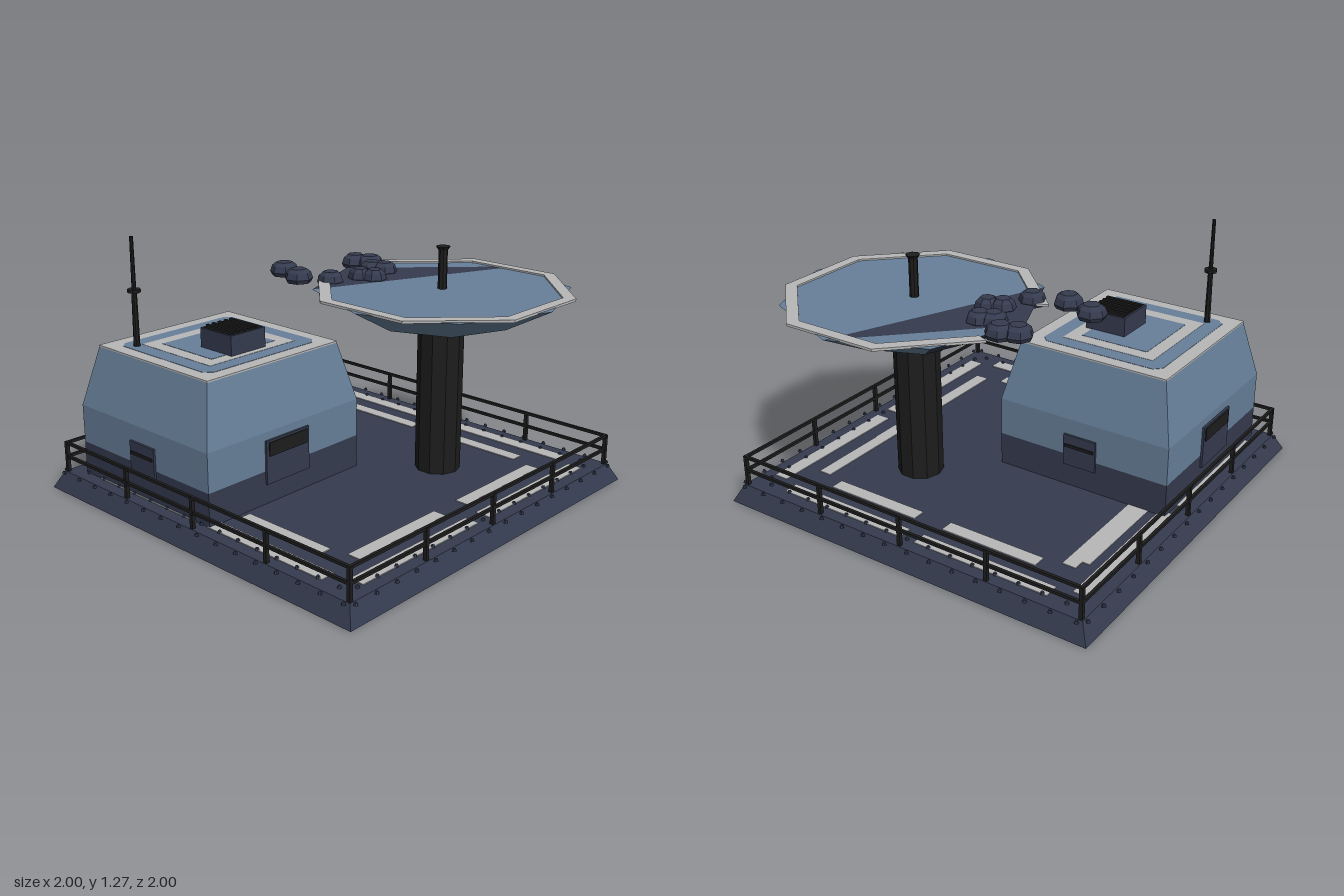
import * as THREE from 'three';

const mat = (name, hex) => {
  const m = new THREE.MeshStandardMaterial({ color: hex });
  m.name = name;
  return m;
};

export function createModel() {
  const root = new THREE.Group();
  root.name = 'radarOutpost';
  const navy = mat('navy', 0x353b4f);
  navy.side = THREE.DoubleSide; // the platform skirt is open underneath
  const blue = mat('steelBlue', 0x67809a);
  const grey = mat('paleGrey', 0xb8b8b8);
  const black = mat('black', 0x1d1d1d);

  const add = (name, geo, material, x = 0, y = 0, z = 0, parent = root) => {
    const m = new THREE.Mesh(geo, material);
    m.name = name;
    m.position.set(x, y, z);
    parent.add(m);
    return m;
  };
  const box = (name, w, h, d, material, x, y, z, parent) =>
    add(name, new THREE.BoxGeometry(w, h, d), material, x, y, z, parent);
  const flat = (geo) => {
    const g = geo.index ? geo.toNonIndexed() : geo;
    g.computeVertexNormals();
    return g;
  };
  const rod = (name, r0, r1, y0, y1, sides, material, x, z) =>
    add(name, flat(new THREE.CylinderGeometry(r1, r0, y1 - y0, sides)), material, x, (y0 + y1) / 2, z);
  // Box whose top face is smaller than its bottom face
  const frustum = (w, d, h, topW, topD) => {
    const g = new THREE.BoxGeometry(w, h, d);
    const p = g.attributes.position;
    for (let i = 0; i < p.count; i++) {
      if (p.getY(i) > 0) p.setXYZ(i, p.getX(i) * topW / w, h / 2, p.getZ(i) * topD / d);
    }
    g.computeVertexNormals();
    return g;
  };

  // Platform: a deck plate on a sloped skirt, hollow underneath
  const deck = 0.087;
  const skirtGeo = new THREE.CylinderGeometry(0.955 * Math.SQRT2, Math.SQRT2, deck, 4, 1, true, Math.PI / 4);
  add('platformSkirt', flat(skirtGeo), navy, 0, deck / 2, 0);
  box('deckPlate', 1.91, 0.002, 1.91, navy, 0, deck - 0.001, 0);

  // Painted deck dashes, rails and studs, repeated on all four sides
  const studGeo = flat(new THREE.CylinderGeometry(0.006, 0.011, 0.012, 6));
  for (let s = 0; s < 4; s++) {
    const side = new THREE.Group();
    side.name = 'deckSide' + (s + 1);
    side.rotation.y = s * Math.PI / 2;
    root.add(side);
    const end = s % 2 ? 0.745 : 0.81;
    const innerEnd = s % 2 ? 0.585 : 0.66;
    for (const k of [-1, 1]) {
      box('outerDash', end - 0.04, 0.004, 0.075, grey, k * (end + 0.04) / 2, deck + 0.002, 0.857, side);
      box('innerDash', innerEnd - 0.08, 0.004, 0.068, grey, k * (innerEnd + 0.08) / 2, deck + 0.002, 0.706, side);
    }
    for (const y of [0.165, 0.236]) box('rail', 1.9, 0.014, 0.014, black, 0, y, 0.942, side);
    for (let i = 0; i < 4; i++) {
      box('railPost', 0.018, 0.153, 0.018, black, -0.942 + i * 0.471, deck + 0.0765, 0.942, side);
    }
    for (let i = 0; i < 16; i++) add('edgeStud', studGeo, navy, -0.94 + i * 0.125, deck, 0.972, side);
    for (let i = 0; i < 15; i++) add('deckStud', studGeo, navy, -0.84 + i * 0.12, deck + 0.006, 0.89, side);
  }
  box('spareDash', 0.525, 0.004, 0.04, grey, 0.342, deck + 0.002, -0.757);

  // Control building
  const bx = -0.406, bz = -0.405;
  box('buildingSkirt', 0.966, 0.163, 0.916, navy, bx, deck + 0.0815, bz);
  box('buildingWalls', 0.966, 0.19, 0.916, blue, bx, 0.345, bz);
  add('buildingUpper', frustum(0.966, 0.916, 0.295, 0.82, 0.78), blue, bx, 0.5875, bz);
  box('roofTrim', 0.824, 0.008, 0.784, grey, bx, 0.736, bz);

  // Thin roof panels; the outer one has cut corners
  const w = 0.347, d = 0.322, c = 0.035;
  const panel = new THREE.Shape([
    [-w + c, -d], [w - c, -d], [w, -d + c], [w, d - c],
    [w - c, d], [-w + c, d], [-w, d - c], [-w, -d + c],
  ].map(([x, y]) => new THREE.Vector2(x, y)));
  const panelGeo = new THREE.ExtrudeGeometry(panel, { depth: 0.0015, bevelEnabled: false });
  panelGeo.rotateX(-Math.PI / 2);
  add('roofPanel', panelGeo, blue, bx, 0.74, bz);
  box('roofBand', 0.535, 0.0015, 0.49, grey, bx, 0.742, bz);
  box('roofCentre', 0.4, 0.0015, 0.355, blue, bx, 0.7435, bz);

  // Roof vent with raised slats
  const vx = -0.407, vz = -0.3;
  box('ventBox', 0.215, 0.1, 0.215, navy, vx, 0.79, vz);
  box('ventGrille', 0.195, 0.004, 0.195, black, vx, 0.841, vz);
  for (let i = 0; i < 5; i++) box('ventSlat', 0.016, 0.01, 0.195, black, vx - 0.074 + i * 0.037, 0.847, vz);

  // Hatches on the four walls
  for (const k of [-1, 1]) {
    const fz = bz + k * 0.458;
    box('wallHatch', 0.275, 0.215, 0.022, navy, -0.407, 0.2925, fz);
    box('hatchWindow', 0.245, 0.068, 0.008, black, -0.407, 0.356, fz + k * 0.012);
    const fx = bx + k * 0.483;
    box('sideHatch', 0.022, 0.16, 0.175, navy, fx, 0.28, -0.4);
    box('sideHatchSlot', 0.008, 0.014, 0.155, black, fx + k * 0.014, 0.305, -0.4);
  }

  // Antenna
  rod('antennaBase', 0.016, 0.013, 0.74, 1.02, 8, black, -0.705, -0.65);
  rod('antennaTip', 0.011, 0.009, 1.02, 1.27, 8, black, -0.705, -0.65);
  rod('antennaCollar', 0.032, 0.032, 1.004, 1.02, 8, black, -0.705, -0.65);

  // Dish support and feed mast
  const cx = 0.35, cz = 0.35;
  rod('dishColumn', 0.112, 0.112, deck, 0.8, 10, black, cx, cz);
  rod('feedMast', 0.022, 0.022, 0.99, 1.2, 8, black, cx, cz);
  rod('feedCap', 0.024, 0.035, 1.188, 1.205, 8, black, cx, cz);

  // Dish shell: eight sides, with the two panels at the back damaged
  const profile = [[0, 0.79], [0.1, 0.79], [0.375, 0.868], [0.618, 1.0]].map(([r, y]) => new THREE.Vector2(r, y));
  const step = Math.PI / 4;
  const shell = (name, material, points, from, count) =>
    add(name, flat(new THREE.LatheGeometry(points, count, from * step, count * step)), material, cx, 0, cz);
  shell('dishShell', blue, profile, 5, 6);
  shell('dishShellCentre', blue, profile.slice(0, 3), 3, 2);
  shell('damagedShell', navy, profile.slice(2), 3, 2);
  const cap = (name, material, ids) => {
    const pts = ids.flatMap((i) => [0.618 * Math.sin(i * step), 1.0, 0.618 * Math.cos(i * step)]);
    const g = new THREE.BufferGeometry();
    g.setAttribute('position', new THREE.Float32BufferAttribute(pts, 3));
    g.setIndex(ids.slice(2).flatMap((_, i) => [0, i + 1, i + 2]));
    g.computeVertexNormals();
    add(name, g, material, cx, 0, cz);
  };
  cap('dishFace', blue, [5, 6, 7, 8, 9, 10]);
  cap('dishFaceCorner', blue, [2, 3, 4]);
  cap('damagedFace', navy, [2, 4, 5]);

  // Rim ring of seven lengths, open at the back
  const rimPoint = (r, i) => {
    const a = (i + 0.5) * step + Math.PI / 2;
    return new THREE.Vector2(r * Math.cos(a), r * Math.sin(a));
  };
  const rimPts = [];
  for (let i = 0; i <= 7; i++) rimPts.push(rimPoint(0.635, i));
  for (let i = 7; i >= 0; i--) rimPts.push(rimPoint(0.575, i));
  const rimGeo = new THREE.ExtrudeGeometry(new THREE.Shape(rimPts), { depth: 0.012, bevelEnabled: false });
  rimGeo.rotateX(-Math.PI / 2);
  add('dishRim', rimGeo, grey, cx, 0.996, cz);

  // Broken chunks, some made of two joined lumps: x, z, radius, turn
  const lump = flat(new THREE.LatheGeometry(
    [[0, 0], [0.85, 0], [1, 0.3], [0.85, 0.75], [0.55, 1], [0, 1]].map(([x, y]) => new THREE.Vector2(x, y)), 7));
  [
    [0.08, -0.445, 0.073, 0.2], [0.025, -0.29, 0.072, 0.9], [0.09, -0.135, 0.066, 0.4],
    [0.24, -0.075, 0.062, 0.3], [0.27, -0.01, 0.062, 0.7], [0.395, -0.135, 0.066, 0.5], [0.42, -0.075, 0.066, 0.1],
    [0.455, -0.305, 0.07, 0.5], [0.485, -0.23, 0.073, 0.2],
  ].forEach(([x, z, r, turn], i) => {
    const m = add('brokenChunk' + (i + 1), lump, navy, x, 0.982, z);
    m.scale.set(r, 0.068, r);
    m.rotation.y = turn;
  });
  return root;
}
